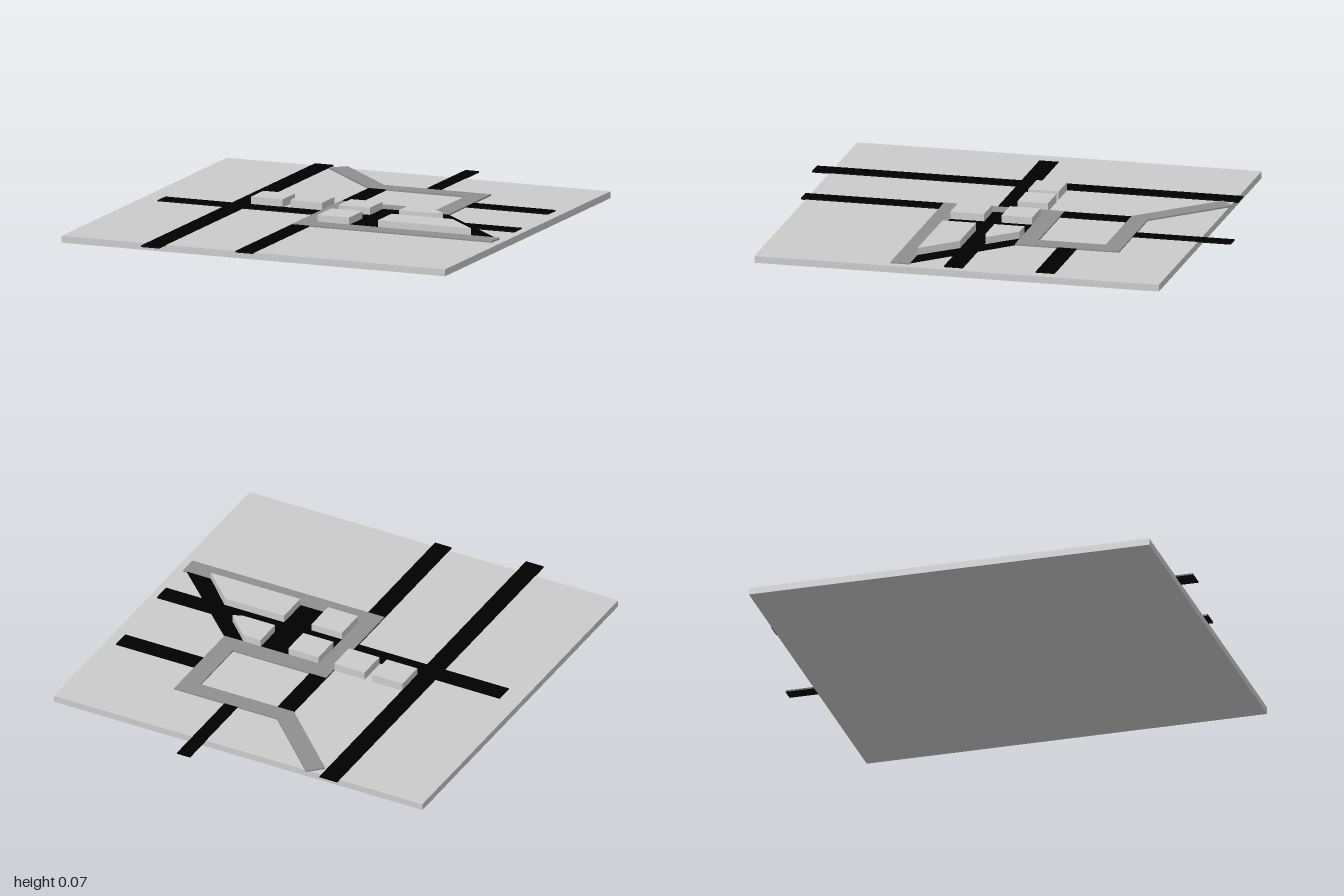
import * as THREE from 'three';

const SLAB_TOP = 0.03;

// Extrude a plan outline of [x, z] corners between two heights
function prism(name, corners, y0, y1, color, hole) {
  const toPoints = (list) => list.map(([x, z]) => new THREE.Vector2(x, -z));
  const shape = new THREE.Shape(toPoints(corners));
  if (hole) shape.holes.push(new THREE.Path(toPoints(hole)));
  const geometry = new THREE.ExtrudeGeometry(shape, { depth: y1 - y0, bevelEnabled: false });
  geometry.rotateX(-Math.PI / 2);
  geometry.translate(0, y0, 0);
  const mesh = new THREE.Mesh(geometry, new THREE.MeshStandardMaterial({ color }));
  mesh.name = name;
  return mesh;
}

const rect = (x0, x1, z0, z1) => [[x0, z0], [x1, z0], [x1, z1], [x0, z1]];

export function createModel() {
  const model = new THREE.Group();

  // Ground slab
  model.add(prism('ground', rect(-0.89, 0.89, -0.855, 0.925), 0, SLAB_TOP, 0xcccccc));

  // Dark streets, some running past the edge of the slab
  const streets = {
    westStreet: rect(-0.49, -0.405, -0.875, 1),
    middleStreet: rect(-0.075, 0.005, -0.49, 0.945),
    crossStreet: rect(-0.8, 0.855, 0.017, 0.1),
    northStreet: rect(0.155, 0.217, -1, -0.57),
    eastStreet: rect(0.46, 0.84, -0.383, -0.3),
    blockStreet: rect(0.155, 0.285, -0.112, 0.252),
    diagonalStreet: [[0.37, -0.112], [0.46, -0.112], [0.835, 0.252], [0.72, 0.252]],
  };
  const streetGroup = new THREE.Group();
  streetGroup.name = 'streets';
  for (const [name, corners] of Object.entries(streets)) {
    streetGroup.add(prism(name, corners, 0.028, 0.035, 0x000000));
  }
  model.add(streetGroup);

  // Grey main route: diagonal tail, square loop and southern spur in one outline
  const route = [
    [-0.335, -0.868], [-0.037, -0.57], [0.46, -0.57], [0.46, -0.112], [0.005, -0.112],
    [0.005, 0.25], [0.853, 0.25], [0.853, 0.335], [-0.075, 0.335], [-0.075, -0.195],
    [0.375, -0.195], [0.375, -0.49], [-0.075, -0.49], [-0.397, -0.81],
  ];
  model.add(prism('mainRoute', route, SLAB_TOP, 0.0365, 0x8f8f8f));

  // Low buildings between the streets
  const buildings = [
    rect(-0.405, -0.258, -0.122, 0.012),
    rect(-0.222, -0.075, -0.122, 0.012),
    rect(0.007, 0.153, -0.11, 0.025),
    rect(0.007, 0.153, 0.102, 0.25),
    [[0.287, -0.11], [0.37, -0.11], [0.485, 0.005], [0.44, 0.022], [0.287, 0.022]],
    [[0.287, 0.102], [0.57, 0.102], [0.72, 0.25], [0.287, 0.25]],
  ];
  const buildingGroup = new THREE.Group();
  buildingGroup.name = 'buildings';
  buildings.forEach((corners, i) => {
    buildingGroup.add(prism(`building${i + 1}`, corners, SLAB_TOP, 0.066, 0xcccccc));
  });
  model.add(buildingGroup);

  return model;
}
